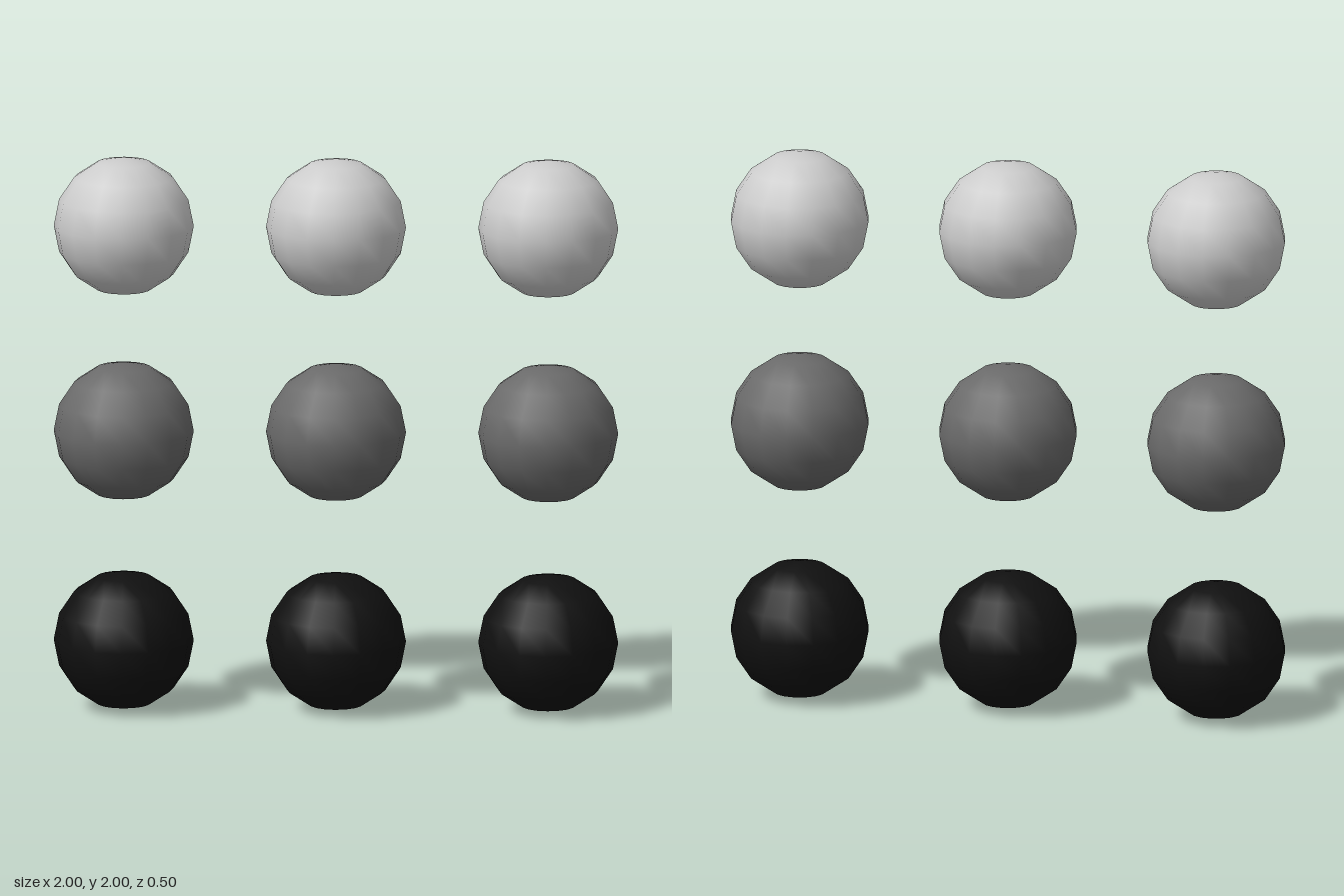
import * as THREE from 'three';

const RADIUS = 0.248;
const COLUMNS = [-0.752, 0, 0.752];
// Rows from bottom to top: name, centre height, shade
const ROWS = [
  ['black', 0.249, 0x101010],
  ['dark', 1.007, 0x6a6a6a],
  ['light', 1.749, 0xcccccc],
];

export function createModel() {
  const model = new THREE.Group();
  model.name = 'sphereGrid';
  const ball = new THREE.SphereGeometry(RADIUS, 16, 8);

  // Three rows of three balls, one shade per row
  for (const [shade, y, color] of ROWS) {
    const row = new THREE.Group();
    row.name = `${shade}Row`;
    row.position.y = y;
    const material = new THREE.MeshStandardMaterial({ color });
    COLUMNS.forEach((x, i) => {
      const mesh = new THREE.Mesh(ball, material);
      mesh.name = `${shade}Ball${i + 1}`;
      mesh.position.x = x;
      row.add(mesh);
    });
    model.add(row);
  }
  return model;
}
